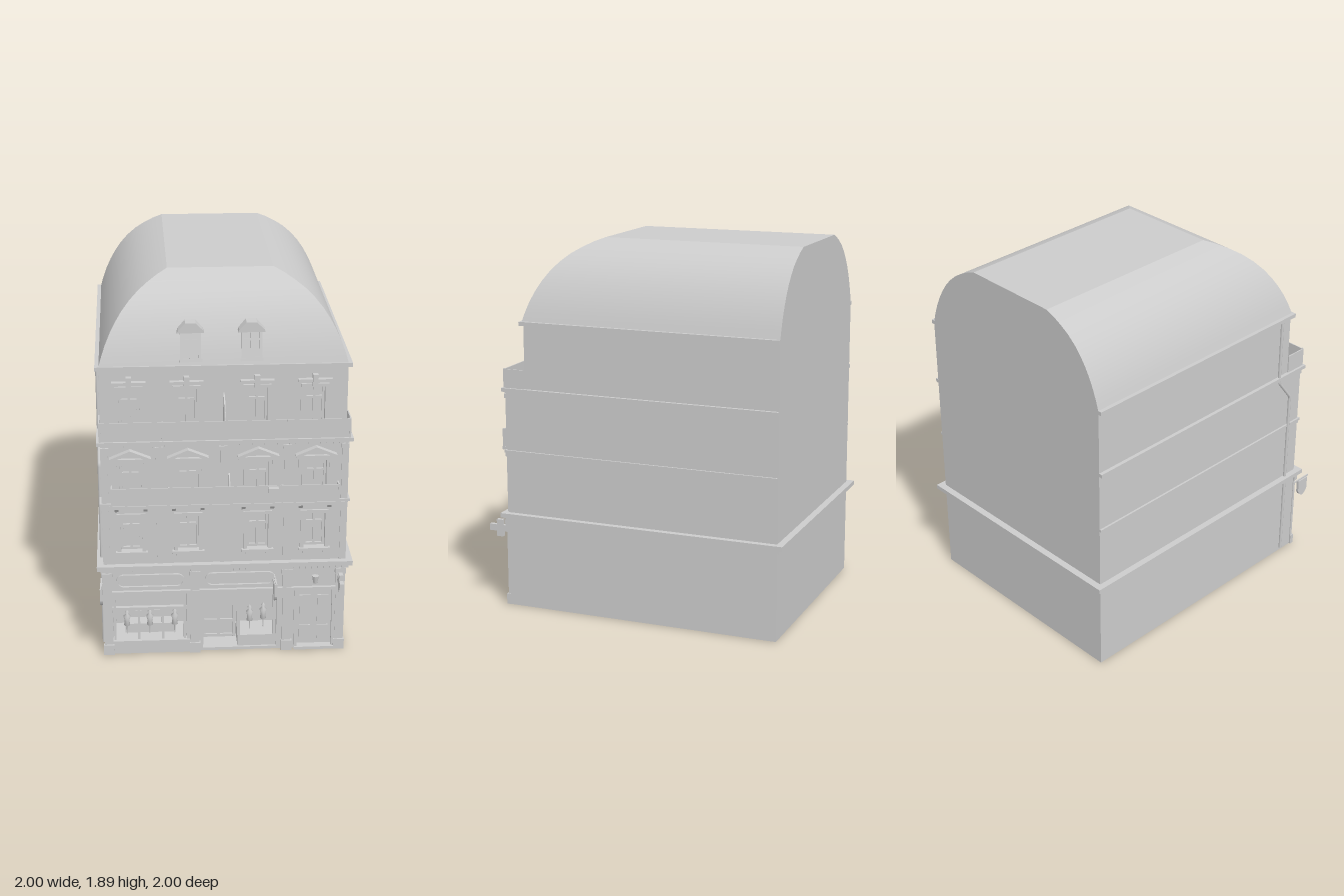
import * as THREE from 'three';

const mat = new THREE.MeshStandardMaterial({ color: 0xcccccc, side: THREE.DoubleSide });
const HALF = 0.6, FRONT = 0.727, SETBACK = 0.62, BACK = -0.72, EAVE = 1.49, RIDGE = 1.89;
const COLUMNS = [-0.458, -0.18, 0.16, 0.44];

export function createModel() {
  const model = new THREE.Group();
  const house = new THREE.Group();
  house.name = 'townHouse';
  house.rotation.y = 0.83;
  house.position.set(-0.012, 0, -0.02);
  model.add(house);

  const add = (name, geometry, parent = house) => {
    const mesh = new THREE.Mesh(geometry, mat);
    mesh.name = name;
    parent.add(mesh);
    return mesh;
  };
  // Box given by its limits on each axis
  const box = (name, x0, x1, y0, y1, z0, z1, parent = house) => {
    const m = add(name, new THREE.BoxGeometry(x1 - x0, y1 - y0, z1 - z0), parent);
    m.position.set((x0 + x1) / 2, (y0 + y1) / 2, (z0 + z1) / 2);
    return m;
  };
  const shape = (pts) => new THREE.Shape(pts.map(([x, y]) => new THREE.Vector2(x, y)));
  const extrude = (s, depth) => new THREE.ExtrudeGeometry(s, { depth, bevelEnabled: false, curveSegments: 8 });
  const rect = (x0, x1, y0, y1) => shape([[x0, y0], [x1, y0], [x1, y1], [x0, y1]]);
  // Plate standing across the facade: points are (z, y), centred on x
  const sidePlate = (name, s, x, thick, parent = house) => {
    const m = add(name, extrude(s, thick), parent);
    m.rotation.y = -Math.PI / 2;
    m.position.x = x + thick / 2;
    return m;
  };

  // Roof: curved sides, curved front hip, flat top, upright back gable
  const profile = [[0, 0], [0.045, 0.13], [0.1, 0.26], [0.17, 0.39], [0.25, 0.51], [0.34, 0.62],
    [0.45, 0.725], [0.58, 0.82], [0.72, 0.895], [0.86, 0.955], [1, 1]]
    .map(([h, v]) => ({ x: HALF - 0.34 * h, z: SETBACK + 0.01 - 0.31 * h, y: EAVE + (RIDGE - EAVE) * v }));
  const strip = (name, ends) => {
    const pos = [], index = [];
    profile.forEach((p, i) => {
      pos.push(...ends(p).flat());
      if (i) index.push(2 * i - 2, 2 * i - 1, 2 * i + 1, 2 * i - 2, 2 * i + 1, 2 * i);
    });
    const g = new THREE.BufferGeometry();
    g.setAttribute('position', new THREE.Float32BufferAttribute(pos, 3));
    g.setIndex(index);
    g.computeVertexNormals();
    add(name, g);
  };
  strip('roofFront', (p) => [[-p.x, p.y, p.z], [p.x, p.y, p.z]]);
  strip('roofLeft', (p) => [[p.x, p.y, p.z], [p.x, p.y, BACK]]);
  strip('roofRight', (p) => [[-p.x, p.y, BACK], [-p.x, p.y, p.z]]);
  const top = profile[profile.length - 1];
  const flat = add('roofTop', new THREE.PlaneGeometry(2 * top.x, top.z - BACK));
  flat.rotation.x = -Math.PI / 2;
  flat.position.set(0, RIDGE, (top.z + BACK) / 2);

  // Back and side walls
  const gable = [[-HALF, 0], ...profile.map((p) => [-p.x, p.y]), ...[...profile].reverse().map((p) => [p.x, p.y]), [HALF, 0]];
  const back = add('backWall', new THREE.ShapeGeometry(shape(gable)));
  back.rotation.y = Math.PI;
  back.position.z = BACK;
  for (const s of [-1, 1]) {
    const wall = add('sideWall', new THREE.ShapeGeometry(shape(
      [[-BACK, 0], [-BACK, EAVE], [-SETBACK, EAVE], [-SETBACK, 1.14], [-FRONT, 1.14], [-FRONT, 0]]
        .map(([z, y]) => [z * s, y]))));
    wall.rotation.y = s * Math.PI / 2;
    wall.position.x = s * HALF;
  }

  // Facade walls with openings
  const facade = (name, y0, y1, z, holes) => {
    const s = rect(-HALF, HALF, y0, y1);
    holes.forEach((h) => s.holes.push(rect(...h)));
    add(name, extrude(s, 0.035)).position.z = z - 0.035;
  };
  const floors = [
    { y0: 0.57, y1: 0.755, z: FRONT, w: 0.052 },
    { y0: 0.835, y1: 1.035, z: FRONT, w: 0.052 },
    { y0: 1.165, y1: 1.375, z: SETBACK, w: 0.05 }];
  const openings = (f) => COLUMNS.map((u) => [u - f.w, u + f.w, f.y0, f.y1]);
  facade('groundFloorWall', 0, 0.48, FRONT, [[-0.56, -0.19, 0.07, 0.33], [-0.11, 0.26, 0.015, 0.33], [0.36, 0.54, 0.015, 0.33]]);
  facade('middleFloorsWall', 0.48, 1.14, FRONT, [...openings(floors[0]), ...openings(floors[1])]);
  facade('topFloorWall', 1.14, EAVE, SETBACK, openings(floors[2]));

  // String courses and cornices
  const band = (name, y0, y1, out, front, behind) => {
    box(name, -HALF - out, HALF + out, y0, y1, front - 0.03, front + out);
    for (const s of [-1, 1]) {
      const a = s * (HALF - 0.01), b = s * (HALF + out);
      box(name, Math.min(a, b), Math.max(a, b), y0, y1, BACK - behind, front);
    }
    if (behind) box(name, -HALF - out, HALF + out, y0, y1, BACK - behind, BACK + 0.01);
  };
  band('mainCornice', 0.475, 0.498, 0.032, FRONT, 0.035);
  band('mainCorniceFoot', 0.455, 0.475, 0.014, FRONT, 0.014);
  band('stringCourse', 0.815, 0.828, 0.01, FRONT, 0);
  band('terraceCornice', 1.133, 1.152, 0.018, FRONT, 0);
  band('eaveCornice', 1.476, 1.496, 0.018, SETBACK, 0);
  box('terraceFloor', -HALF, HALF, 1.133, 1.15, SETBACK - 0.02, FRONT);
  for (let i = 0; i < 40; i++) {
    const x = -0.59 + i * 0.03;
    box('dentil', x, x + 0.014, 0.458, 0.476, FRONT, FRONT + 0.024);
    box('dentil', x, x + 0.014, 1.122, 1.134, FRONT, FRONT + 0.012);
  }

  // Windows with surrounds, casements and heads
  const windowUnit = (u, f, level) => {
    const g = new THREE.Group();
    g.name = 'window';
    g.position.set(u, 0, f.z);
    house.add(g);
    const { w, y0, y1 } = f;
    box('glass', -w, w, y0, y1, -0.04, -0.032, g);
    const bar = y0 + (y1 - y0) * 0.7;
    box('transom', -w, w, bar - 0.005, bar + 0.005, -0.034, -0.02, g);
    box('sash', -w, w, y0, y0 + 0.012, -0.034, -0.02, g);
    for (const x of [-w + 0.006, 0, w - 0.006]) box('sash', x - 0.006, x + 0.006, y0, y1, -0.034, -0.02, g);
    for (const s of [-1, 1]) {
      box('surround', s * (w + 0.009) - 0.009, s * (w + 0.009) + 0.009, y0, y1 + 0.015, -0.01, 0.01, g);
      if (level === 1) box('console', s * 0.075 - 0.009, s * 0.075 + 0.009, 1.0, 1.05, 0, 0.022, g);
      if (level === 0) box('sillBracket', s * 0.05 - 0.008, s * 0.05 + 0.008, y0 - 0.03, y0 - 0.012, 0, 0.014, g);
    }
    box('lintel', -w - 0.018, w + 0.018, y1, y1 + 0.016, -0.01, 0.01, g);
    if (level === 0) box('sill', -0.078, 0.078, y0 - 0.014, y0, -0.02, 0.022, g);
    if (level === 1) {
      box('pedimentBase', -0.095, 0.095, 1.05, 1.062, 0, 0.03, g);
      const p = shape([[-0.1, 1.062], [0.1, 1.062], [0.1, 1.07], [0, 1.112], [-0.1, 1.07]]);
      p.holes.push(shape([[-0.065, 1.069], [0.065, 1.069], [0, 1.096]]));
      add('pediment', extrude(p, 0.032), g);
      add('pedimentPanel', extrude(shape([[-0.07, 1.066], [0.07, 1.066], [0, 1.1]]), 0.016), g);
    }
    if (level === 2) {
      box('hood', -0.082, 0.082, 1.405, 1.418, 0, 0.026, g);
      box('keystone', -0.013, 0.013, 1.38, 1.442, 0, 0.03, g);
    }
  };
  floors.forEach((f, level) => COLUMNS.forEach((u) => windowUnit(u, f, level)));

  // Flat pilasters between the windows
  for (const u of [-0.58, -0.32, -0.01, 0.3, 0.58])
    for (const [y0, y1] of [[0.5, 0.815], [0.83, 1.12]]) {
      box('pilaster', u - 0.014, u + 0.014, y0, y1, FRONT, FRONT + 0.007);
      box('pilasterCap', u - 0.02, u + 0.02, y1 - 0.022, y1, FRONT, FRONT + 0.011);
    }

  // First balcony with brackets, planter and divider
  box('balconySlab', -0.555, 0.555, 0.815, 0.832, FRONT, 0.778);
  box('balconyRail', -0.55, 0.55, 0.832, 0.922, 0.768, 0.773);
  for (const u of [-0.55, -0.275, 0, 0.275, 0.55]) box('balconyPost', u - 0.004, u + 0.004, 0.83, 0.925, 0.766, 0.776);
  for (const s of [-1, 1]) box('balconyEnd', s * 0.55 - 0.003, s * 0.55 + 0.003, 0.832, 0.922, FRONT, 0.77);
  for (const u of COLUMNS) for (const d of [-0.07, 0.07])
    sidePlate('balconyBracket', shape([[FRONT, 0.78], [FRONT + 0.018, 0.79], [0.768, 0.816], [FRONT, 0.816]]), u + d, 0.018);
  box('planter', 0.205, 0.255, 0.892, 0.92, 0.776, 0.806);

  // Terrace rail and the fan-shaped dividers
  box('terraceRail', -0.605, 0.605, 1.152, 1.248, 0.73, 0.735);
  for (const s of [-1, 1]) box('terraceRailEnd', s * 0.603 - 0.003, s * 0.603 + 0.003, 1.152, 1.248, SETBACK, 0.735);
  for (const u of [-0.6, -0.3, 0, 0.3, 0.6]) box('terracePost', u - 0.004, u + 0.004, 1.152, 1.25, 0.728, 0.738);
  const fan = (x, z0, z1, y0, y1, y2) => {
    const s = new THREE.Shape();
    s.moveTo(z0, y0); s.lineTo(z1, y0); s.lineTo(z1, y1);
    s.quadraticCurveTo(z1 - 0.01, y2 - 0.01, z0, y2);
    sidePlate('divider', s, x, 0.006);
  };
  fan(0, SETBACK, 0.73, 1.152, 1.24, 1.35);
  fan(0.02, FRONT, 0.768, 0.832, 0.91, 0.975);

  // Dormers
  for (const u of [-0.159, 0.133]) {
    const g = new THREE.Group();
    g.name = 'dormer';
    g.position.x = u;
    house.add(g);
    sidePlate('dormerBody', shape([[0.5, 1.52], [0.622, 1.52], [0.59, 1.66], [0.45, 1.66]]), 0, 0.085, g);
    const roof = shape([[-0.065, 1.652], [0.065, 1.652], [0.06, 1.665], [0.025, 1.7], [-0.025, 1.7], [-0.06, 1.665]]);
    add('dormerRoof', extrude(roof, 0.17), g).position.z = 0.445;
    const casement = new THREE.Group();
    casement.name = 'dormerCasement';
    casement.position.set(0, 1.52, 0.622);
    casement.rotation.x = -Math.atan2(0.032, 0.14);
    g.add(casement);
    for (const x of [-0.043, 0, 0.043]) box('dormerPost', x - 0.007, x + 0.007, 0, 0.14, 0, 0.012, casement);
    for (const y of [0, 0.09, 0.128]) box('dormerBar', -0.045, 0.045, y, y + 0.01, 0, 0.01, casement);
    box('dormerSill', -0.055, 0.055, -0.008, 0.006, -0.01, 0.02, casement);
  }

  // Shop front pilasters, plinths and sign panels
  for (const u of [-0.582, -0.15, 0.31, 0.575]) {
    box('shopPilaster', u - 0.022, u + 0.022, 0, 0.455, FRONT, FRONT + 0.014);
    box('shopPlinth', u - 0.027, u + 0.027, 0, 0.055, FRONT, FRONT + 0.022);
    box('shopCapital', u - 0.027, u + 0.027, 0.425, 0.455, FRONT, FRONT + 0.022);
  }
  box('shopStall', -0.56, -0.17, 0, 0.07, FRONT, FRONT + 0.01);
  box('shopLintel', -0.56, 0.56, 0.335, 0.35, FRONT, FRONT + 0.016);
  const pill = (x0, x1, y0, y1) => {
    const r = (y1 - y0) / 2, s = new THREE.Shape();
    s.absarc(x1 - r, y0 + r, r, -Math.PI / 2, Math.PI / 2);
    s.absarc(x0 + r, y0 + r, r, Math.PI / 2, Math.PI * 1.5);
    return s;
  };
  for (const [a, b] of [[-0.54, -0.2], [-0.1, 0.25]]) {
    const s = pill(a, b, 0.365, 0.44);
    s.holes.push(pill(a + 0.01, b - 0.01, 0.375, 0.43));
    add('signFrame', extrude(s, 0.012)).position.z = FRONT;
  }

  // Shop interiors
  const alcove = (name, x0, x1, y0, y1, z0, t = 0.006) => {
    const z1 = FRONT - 0.03;
    box(name, x0, x1, y0, y1, z0, z0 + t);
    for (const y of [y0, y1]) box(name, x0, x1, y - t, y, z0, z1);
    for (const x of [x0, x1]) box(name, x - t / 2, x + t / 2, y0, y1, z0, z1);
  };
  const mannequin = (x, y, z) => {
    const pts = [[0.003, 0], [0.003, 0.045], [0.016, 0.05], [0.012, 0.075], [0.019, 0.1], [0.006, 0.112], [0.011, 0.125], [0, 0.137]];
    add('mannequin', new THREE.LatheGeometry(pts.map((p) => new THREE.Vector2(...p)), 10)).position.set(x, y, z);
  };
  alcove('shopInterior', -0.56, -0.19, 0.07, 0.33, 0.54);
  alcove('entranceInterior', -0.11, 0.26, 0.015, 0.33, 0.3);
  box('shopTransom', -0.56, -0.19, 0.235, 0.25, 0.695, 0.72);
  for (const x of [-0.55, -0.43, -0.31, -0.2]) box('shopMullion', x - 0.006, x + 0.006, 0.07, x === -0.55 || x === -0.2 ? 0.33 : 0.235, 0.7, 0.72);
  box('shopBlind', -0.56, -0.19, 0.25, 0.33, 0.69, 0.7);
  box('counter', -0.5, -0.25, 0.07, 0.12, 0.58, 0.65);
  for (const x of [-0.49, -0.375, -0.25]) mannequin(x, 0.08, 0.675);
  for (const y of [0.15, 0.19]) box('shelf', -0.5, -0.25, y, y + 0.008, 0.546, 0.58);
  // Recessed double door and display window
  for (const x of [-0.105, -0.025, 0.055]) box('entranceStile', x - 0.007, x + 0.007, 0.015, 0.33, 0.6, 0.62);
  for (const y of [0.015, 0.1, 0.27, 0.315]) box('entranceRail', -0.11, 0.06, y, y + 0.015, 0.602, 0.618);
  box('entranceGlass', -0.11, 0.06, 0.015, 0.33, 0.604, 0.608);
  box('displayBase', 0.065, 0.26, 0.015, 0.075, 0.56, 0.715);
  for (const x of [0.07, 0.25]) box('displayPost', x - 0.008, x + 0.008, 0.075, 0.33, 0.7, 0.716);
  box('displayHead', 0.065, 0.26, 0.3, 0.33, 0.7, 0.716);
  box('displayBack', 0.065, 0.26, 0.075, 0.33, 0.56, 0.568);
  mannequin(0.13, 0.08, 0.66);
  mannequin(0.2, 0.08, 0.64);

  // House door
  box('houseDoor', 0.36, 0.54, 0.015, 0.33, 0.69, 0.705);
  for (const x of [0.405, 0.495]) for (const [y0, y1] of [[0.04, 0.12], [0.14, 0.29]])
    box('doorPanel', x - 0.028, x + 0.028, y0, y1, 0.705, 0.712);
  box('doorStep', 0.35, 0.55, 0, 0.015, 0.69, FRONT + 0.02);
  for (const x of [0.355, 0.545]) box('doorFrame', x - 0.008, x + 0.008, 0, 0.335, FRONT - 0.01, FRONT + 0.01);
  add('doorLamp', new THREE.CylinderGeometry(0.017, 0.01, 0.04, 8)).position.set(0.45, 0.395, FRONT + 0.018);

  // Projecting shield signs and cross sign
  for (const u of [-0.612, 0.246]) {
    const s = new THREE.Shape();
    s.moveTo(0.755, 0.41); s.lineTo(0.755, 0.345);
    s.quadraticCurveTo(0.765, 0.315, 0.79, 0.31);
    s.quadraticCurveTo(0.815, 0.315, 0.825, 0.345);
    s.lineTo(0.825, 0.41);
    sidePlate('shieldSign', s, u, 0.014);
    box('signBracket', u - 0.003, u + 0.003, 0.412, 0.42, FRONT - 0.01, 0.838);
  }
  box('crossUpright', 0.56, 0.58, 0.355, 0.445, 0.775, 0.81);
  box('crossArm', 0.56, 0.58, 0.383, 0.417, 0.735, 0.85);

  // Rainwater pipe on the right wall
  const pipe = new THREE.CurvePath();
  const bends = [[1.476, 0.55], [1.12, 0.55], [1.0, 0.642], [0.02, 0.642]].map(([y, z]) => new THREE.Vector3(-0.608, y, z));
  for (let i = 1; i < bends.length; i++) pipe.add(new THREE.LineCurve3(bends[i - 1], bends[i]));
  add('rainPipe', new THREE.TubeGeometry(pipe, 80, 0.008, 8));

  return model;
}
